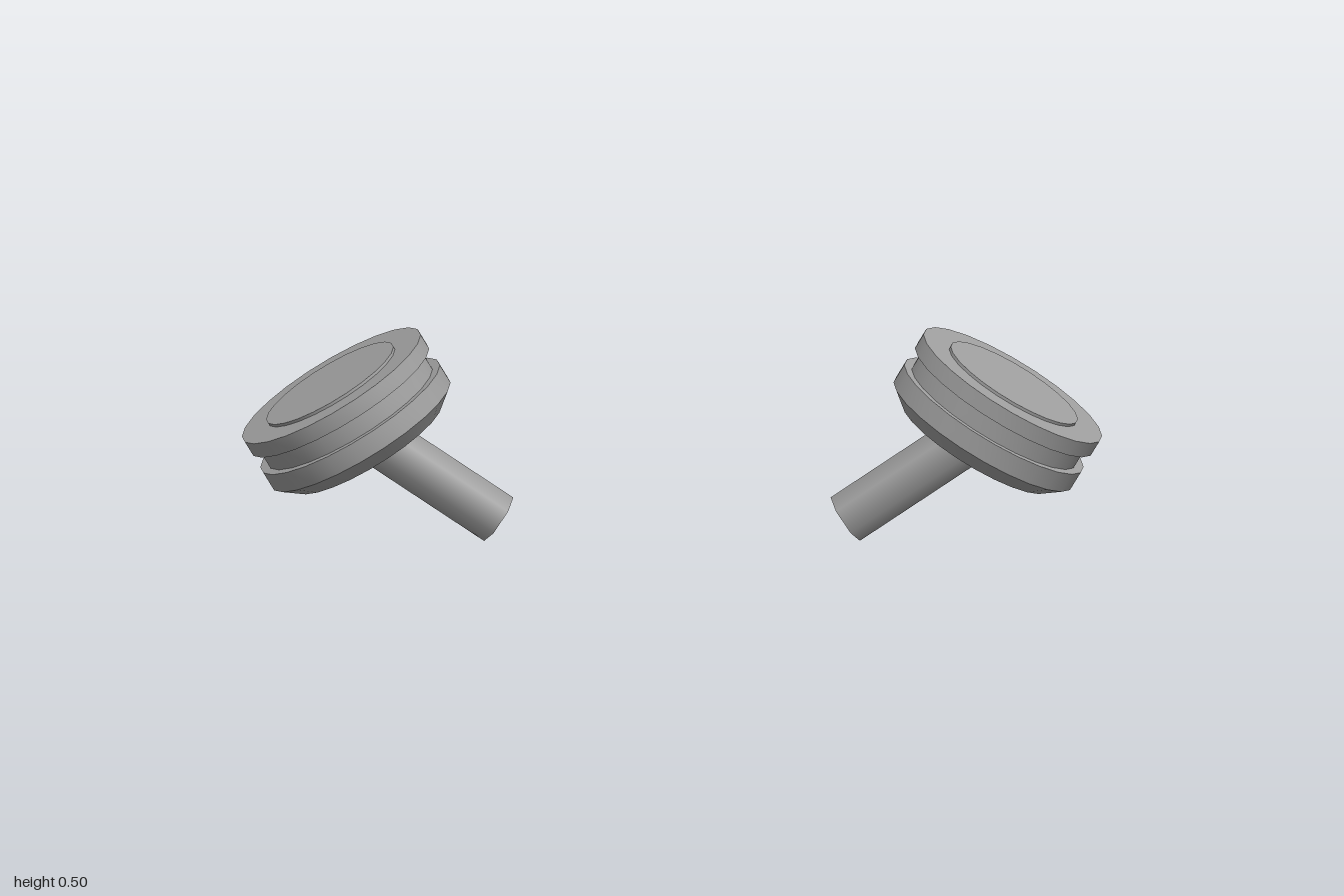
import * as THREE from 'three';
import { toCreasedNormals } from 'three/addons/utils/BufferGeometryUtils.js';

const grey = new THREE.MeshStandardMaterial({ color: 0xa0a0a0 });
grey.name = 'grey';

// Places a part at a point with its local y along the axis and local z uppermost
function place(mesh, name, point, axis, side) {
  const y = new THREE.Vector3(axis[0] * side, axis[1], axis[2]).normalize();
  const z = new THREE.Vector3(0, 1, 0).addScaledVector(y, -y.y).normalize();
  const x = new THREE.Vector3().crossVectors(y, z);
  mesh.quaternion.setFromRotationMatrix(new THREE.Matrix4().makeBasis(x, y, z));
  mesh.position.set(point[0] * side, point[1], point[2]);
  mesh.name = name;
  return mesh;
}

// Grooved disc: radius and height, from the underside up to the raised centre plate
const profile = [
  [0, -0.172], [0.197, -0.172], [0.2425, -0.135], [0.2425, -0.086],
  [0.2225, -0.086], [0.2225, -0.039], [0.2415, -0.039], [0.2415, 0],
  [0.172, 0], [0.172, 0.007], [0, 0.007],
].map(([r, h]) => new THREE.Vector2(r, h));

function createKnob(side) {
  const knob = new THREE.Group();
  knob.name = side > 0 ? 'leftKnob' : 'rightKnob';

  const discShape = toCreasedNormals(new THREE.LatheGeometry(profile, 24), 0.5);
  knob.add(place(new THREE.Mesh(discShape, grey), 'disc',
    [0.7925, 0.372, 0.009], [0.51, 0.853, 0.115], side));

  // Six-sided stem, starting at its free end and running into the disc
  const stemLength = 0.38;
  const stemShape = new THREE.CylinderGeometry(0.061, 0.061, stemLength, 6);
  stemShape.translate(0, stemLength / 2, 0);
  knob.add(place(new THREE.Mesh(stemShape, grey), 'stem',
    [0.403, 0.051, -0.04], [0.825, 0.56, 0.075], side));
  return knob;
}

export function createModel() {
  const model = new THREE.Group();
  model.name = 'knobPair';
  for (const side of [-1, 1]) model.add(createKnob(side));
  return model;
}
